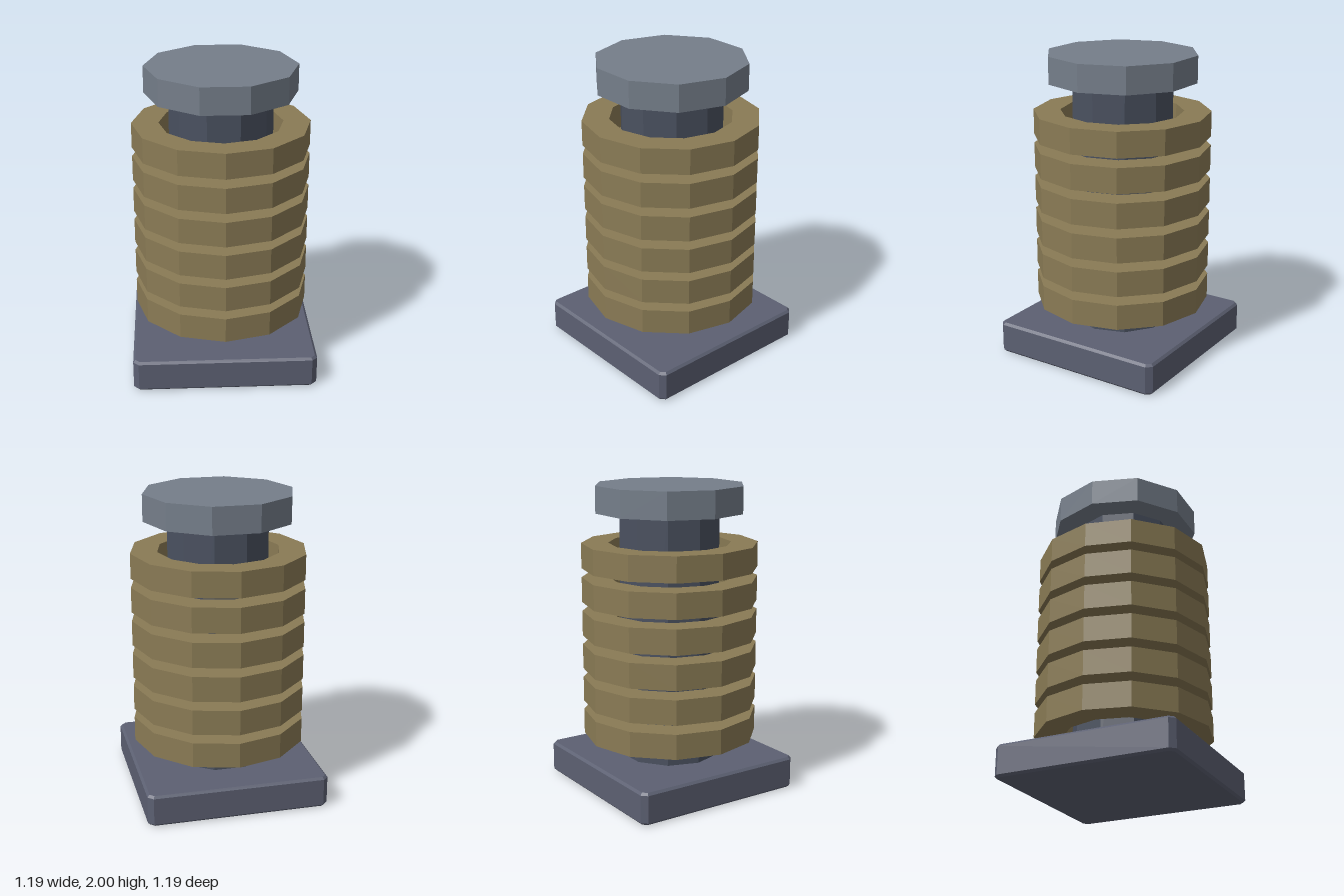
import * as THREE from 'three';

const material = (color) => new THREE.MeshStandardMaterial({ color, flatShading: true });

// Regular polygon outline with a corner on the x axis
function polygon(PathType, radius, sides) {
  const points = [];
  for (let i = 0; i < sides; i++) {
    const a = (i / sides) * Math.PI * 2;
    points.push(new THREE.Vector2(Math.cos(a) * radius, Math.sin(a) * radius));
  }
  return new PathType(points);
}

// Ten-sided column with a corner on the x axis
function column(name, radius, bottom, top, color) {
  const geometry = new THREE.CylinderGeometry(radius, radius, top - bottom, 10);
  geometry.rotateY(Math.PI / 2);
  geometry.translate(0, (bottom + top) / 2, 0);
  const mesh = new THREE.Mesh(geometry, material(color));
  mesh.name = name;
  return mesh;
}

export function createModel() {
  const group = new THREE.Group();
  group.name = 'ringedPost';

  // Square base plate: clipped corners and a narrow bevel
  const h = 0.58, c = h - 0.026, bevel = 0.015;
  const outline = new THREE.Shape([
    [h, -c], [h, c], [c, h], [-c, h], [-h, c], [-h, -c], [-c, -h], [c, -h],
  ].map(([x, y]) => new THREE.Vector2(x, y)));
  const baseGeometry = new THREE.ExtrudeGeometry(outline, {
    depth: 0.18, bevelEnabled: true, bevelSize: bevel, bevelThickness: bevel, bevelSegments: 1,
  });
  baseGeometry.rotateX(-Math.PI / 2);
  baseGeometry.translate(0, bevel, 0);
  const base = new THREE.Mesh(baseGeometry, material(0x5c6072));
  base.name = 'basePlate';
  group.add(base);

  // Central post and cap
  group.add(column('post', 0.335, 0.2, 1.83, 0x4a5160));
  group.add(column('cap', 0.49, 1.825, 2, 0x757e8a));

  // Stack of loose twelve-sided rings around the post
  const ringShape = polygon(THREE.Shape, 0.575, 12);
  ringShape.holes.push(polygon(THREE.Path, 0.4, 12));
  const ringGeometry = new THREE.ExtrudeGeometry(ringShape, { depth: 0.165, bevelEnabled: false });
  ringGeometry.rotateX(-Math.PI / 2);
  const ringMaterial = material(0x8a7b55);
  for (let i = 0; i < 6; i++) {
    const ring = new THREE.Mesh(ringGeometry, ringMaterial);
    ring.name = `ring${i + 1}`;
    ring.position.y = 0.34 + i * 0.224;
    group.add(ring);
  }

  return group;
}
